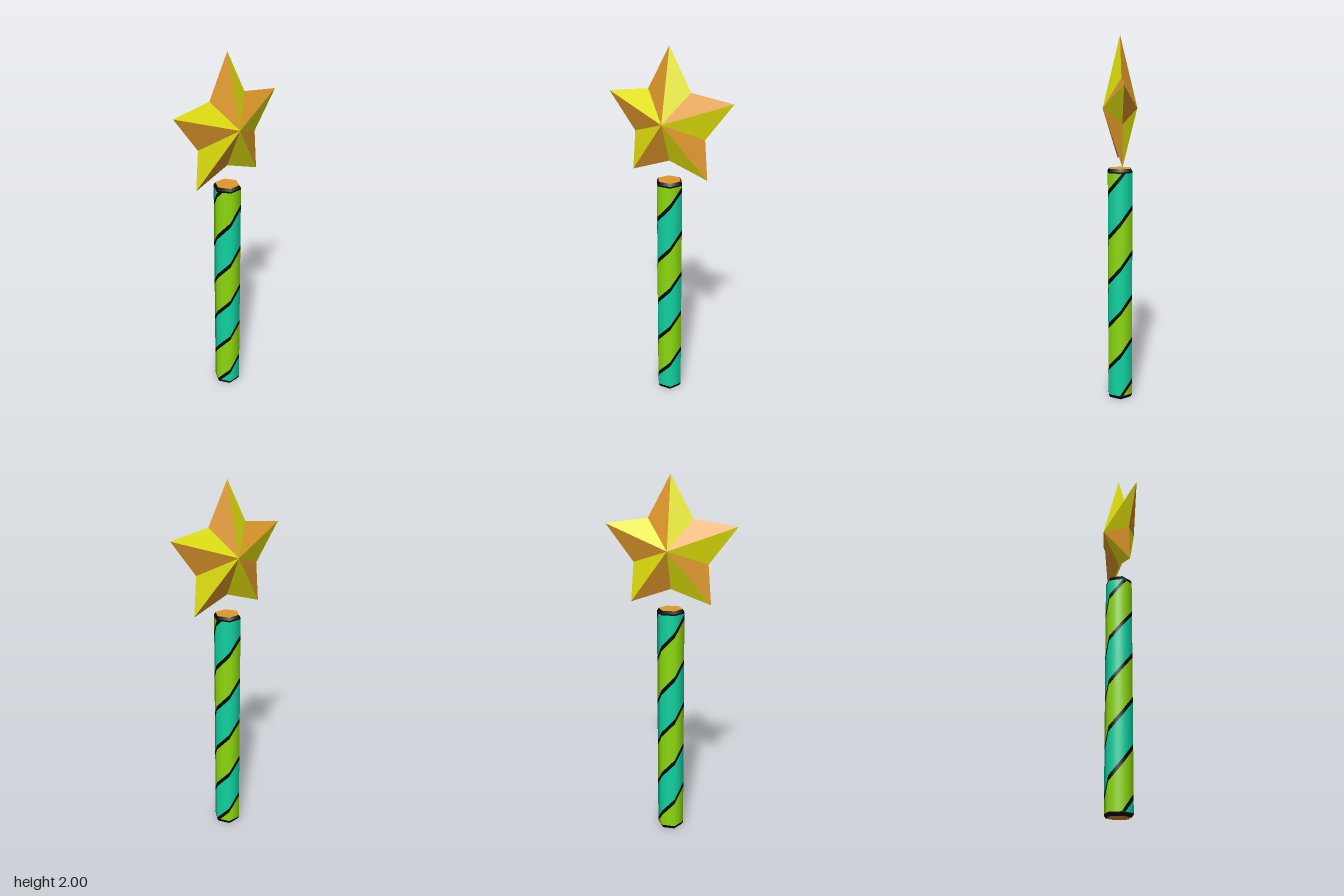
import * as THREE from 'three';

const material = (name, color) => {
  const m = new THREE.MeshStandardMaterial({ color });
  m.name = name;
  return m;
};

export function createModel() {
  const yellow = material('yellow', 0xe6e60c);
  const orange = material('orange', 0xe0982a);
  const green = material('green', 0x8cd80e);
  const teal = material('teal', 0x10d2a0);
  const black = material('black', 0x050505);

  const wand = new THREE.Group();
  wand.name = 'wand';
  const add = (name, geometry, mat, parent = wand) => {
    const mesh = new THREE.Mesh(geometry, mat);
    mesh.name = name;
    parent.add(mesh);
    return mesh;
  };

  // Six-sided stick with smooth normals, corners on the x axis
  const R = 0.075, CAP_R = 0.066, LOW = 0.02, HIGH = 1.285, TOP = 1.308, CHAMFER = 0.015;
  const stick = new THREE.Group();
  stick.name = 'stick';
  wand.add(stick);
  const corner = (i) => {
    const a = Math.PI / 2 + i * Math.PI / 3;
    return new THREE.Vector3(Math.sin(a), 0, Math.cos(a));
  };

  // Helical band between heights lo and hi (taken at the front), clipped to the stick
  const RISE = 0.5, COLUMNS = 10;
  function helixBand(lo, hi) {
    const pos = [], nor = [];
    const clip = (y) => Math.min(HIGH, Math.max(LOW, y));
    for (let face = 0; face < 6; face++) {
      const a = corner(face), b = corner(face + 1);
      for (let c = 0; c < COLUMNS; c++) {
        const [l, r] = [c / COLUMNS, (c + 1) / COLUMNS].map((t) => {
          const p = a.clone().lerp(b, t);
          const lift = RISE * (0.25 + (face + t) / 6);
          return { p, n: p.clone().normalize(), lo: clip(lo + lift), hi: clip(hi + lift) };
        });
        if (l.hi - l.lo + r.hi - r.lo < 1e-6) continue;
        for (const [s, y] of [[l, l.lo], [r, r.lo], [r, r.hi], [l, l.lo], [r, r.hi], [l, l.hi]]) {
          pos.push(s.p.x * R, y, s.p.z * R);
          nor.push(s.n.x, 0, s.n.z);
        }
      }
    }
    const g = new THREE.BufferGeometry();
    g.setAttribute('position', new THREE.Float32BufferAttribute(pos, 3));
    g.setAttribute('normal', new THREE.Float32BufferAttribute(nor, 3));
    return pos.length ? g : null;
  }
  const STEP = 0.25, START = 0.14, LINE = 0.014;
  for (let k = -4; k <= 5; k++) {
    const y = START + k * STEP;
    const stripe = helixBand(y + LINE, y + STEP - LINE);
    const line = helixBand(y - LINE, y + LINE);
    if (stripe) add('spiralStripe', stripe, k % 2 === 0 ? green : teal, stick);
    if (line) add('spiralLine', line, black, stick);
  }

  // Black end rings with a small chamfer
  const ring = (name, rTop, rBottom, y0, y1) => {
    const g = new THREE.CylinderGeometry(rTop, rBottom, y1 - y0, 6, 1, true, Math.PI / 2);
    add(name, g, black, stick).position.y = (y0 + y1) / 2;
  };
  ring('bottomChamfer', R, CAP_R, 0, CHAMFER);
  ring('bottomRing', R, R, CHAMFER, LOW);
  ring('topRing', R, R, HIGH, TOP - CHAMFER);
  ring('topChamfer', CAP_R, R, TOP - CHAMFER, TOP);

  // Flat end caps
  const cap = new THREE.CircleGeometry(CAP_R, 6);
  const topCap = add('topCap', cap, orange, stick);
  topCap.rotation.x = -Math.PI / 2;
  topCap.position.y = TOP;
  add('bottomCap', cap, orange, stick).rotation.x = Math.PI / 2;

  // Faceted star: outline clockwise from the top tip, alternating tips and notches
  const half = [[0, 2], [0.12, 1.78], [0.349, 1.747], [0.2, 1.55], [0.217, 1.336]];
  const mirrored = half.slice(1).reverse().map(([x, y]) => [-x, y]);
  const outline = [...half, [0, 1.413], ...mirrored];
  const star = new THREE.Group();
  star.name = 'star';
  wand.add(star);
  const facets = (first) => {
    const pos = [];
    for (let i = first; i < outline.length; i += 2) {
      const next = outline[(i + 1) % outline.length];
      pos.push(0, 1.625, 0.092, ...next, 0, ...outline[i], 0);
    }
    const g = new THREE.BufferGeometry();
    g.setAttribute('position', new THREE.Float32BufferAttribute(pos, 3));
    g.computeVertexNormals();
    return g;
  };
  const yellowFacets = facets(0), orangeFacets = facets(1);
  for (const [side, turn] of [['front', 0], ['back', Math.PI]]) {
    add(side + 'YellowFacets', yellowFacets, yellow, star).rotation.y = turn;
    add(side + 'OrangeFacets', orangeFacets, orange, star).rotation.y = turn;
  }

  return wand;
}
